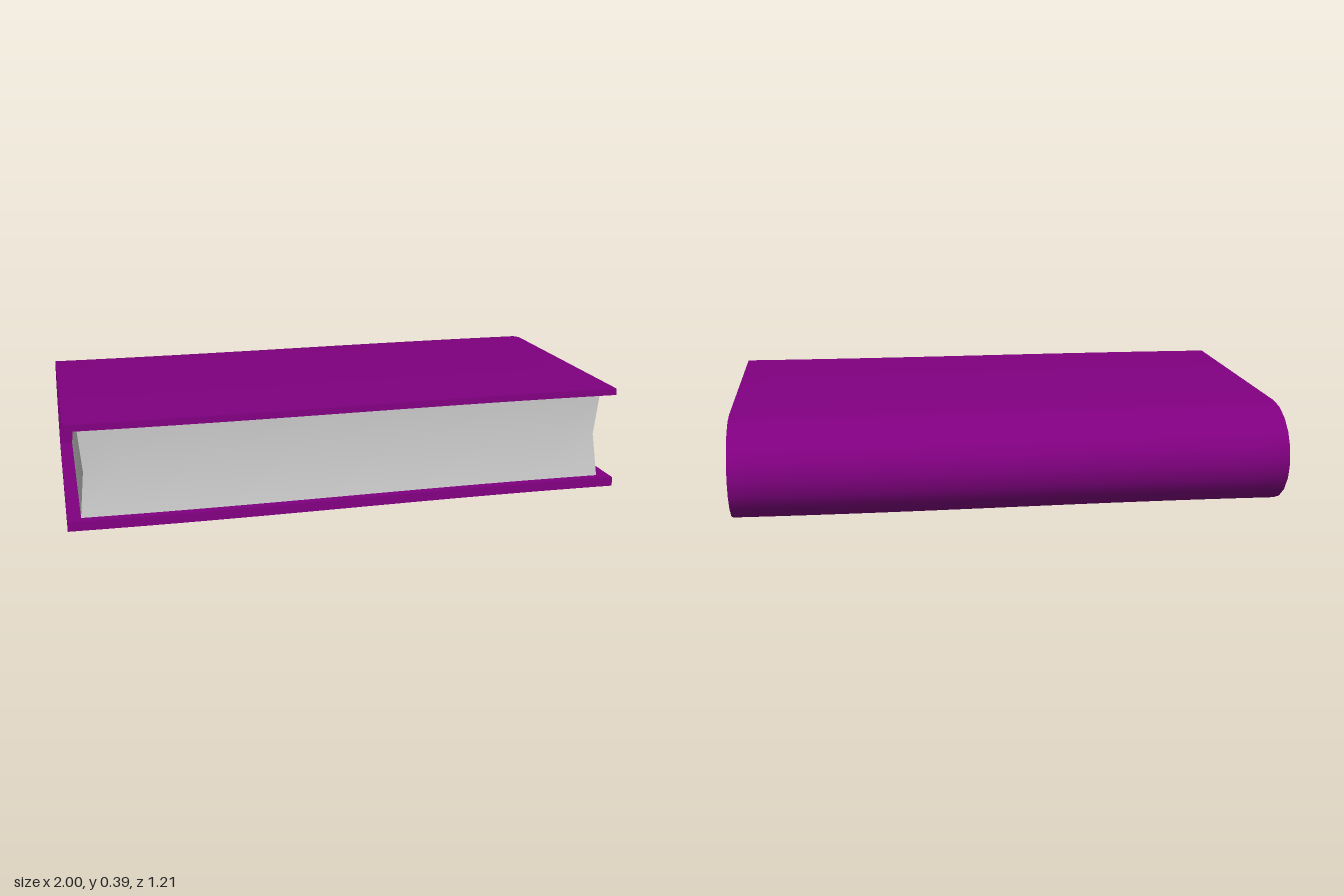
import * as THREE from 'three';
import { toCreasedNormals } from 'three/addons/utils/BufferGeometryUtils.js';

// Slightly bends and tilts the closed book so that it looks hand-made
function warp(geometry) {
  const p = geometry.attributes.position;
  for (let i = 0; i < p.count; i++) {
    const x = p.getX(i), y = p.getY(i), z = p.getZ(i);
    p.setXYZ(i,
      x + 0.005 * z,
      y + 0.0095 * z + 0.003 * x,
      z - 0.0025 - 0.016 * Math.sin(2.1 * x) - 0.035 * (y - 0.19));
  }
  return toCreasedNormals(geometry, 0.6);
}

// Two boards and a solid rounded spine, one profile swept along x
function coverGeometry() {
  const bottom = 0.006, top = 0.377, innerBottom = 0.039, innerTop = 0.353;
  const front = -0.583, spine = 0.37, depth = 0.215;
  const half = (top - bottom) / 2, mid = (top + bottom) / 2;
  const shape = new THREE.Shape();
  shape.moveTo(front, bottom);
  for (let i = 0; i <= 10; i++) {
    const a = -Math.PI / 2 + (i / 10) * Math.PI;
    shape.lineTo(spine + depth * Math.cos(a), mid + half * Math.sin(a));
  }
  shape.lineTo(front, top);
  shape.lineTo(front, innerTop);
  shape.lineTo(spine, innerTop);
  shape.lineTo(spine, innerBottom);
  shape.lineTo(front, innerBottom);
  shape.closePath();
  const length = 1.994;
  const g = new THREE.ExtrudeGeometry(shape, { depth: length, steps: 16, bevelEnabled: false });
  g.translate(0, 0, -length / 2);
  g.rotateY(Math.PI / 2);
  return warp(g);
}

// Page block, pinched halfway up along the fore edge and both ends
function pagesGeometry() {
  const width = 1.9, height = 0.32, back = -0.375, front = 0.548;
  const g = new THREE.BoxGeometry(width, height, front - back, 16, 2, 1);
  g.translate(0, 0, (front + back) / 2);
  const p = g.attributes.position;
  for (let i = 0; i < p.count; i++) {
    const pinch = 1 - Math.abs(p.getY(i)) / (height / 2);
    p.setX(i, p.getX(i) * (1 - 0.016 * pinch));
    if (p.getZ(i) > 0) p.setZ(i, p.getZ(i) - 0.014 * pinch);
  }
  g.translate(0, 0.196, 0);
  return warp(g);
}

export function createModel() {
  const book = new THREE.Group();
  book.name = 'book';
  const addPart = (name, geometry, color) => {
    const mesh = new THREE.Mesh(geometry, new THREE.MeshStandardMaterial({ color }));
    mesh.name = name;
    book.add(mesh);
  };
  addPart('cover', coverGeometry(), 0x800080);
  addPart('pages', pagesGeometry(), 0xcccccc);
  return book;
}
